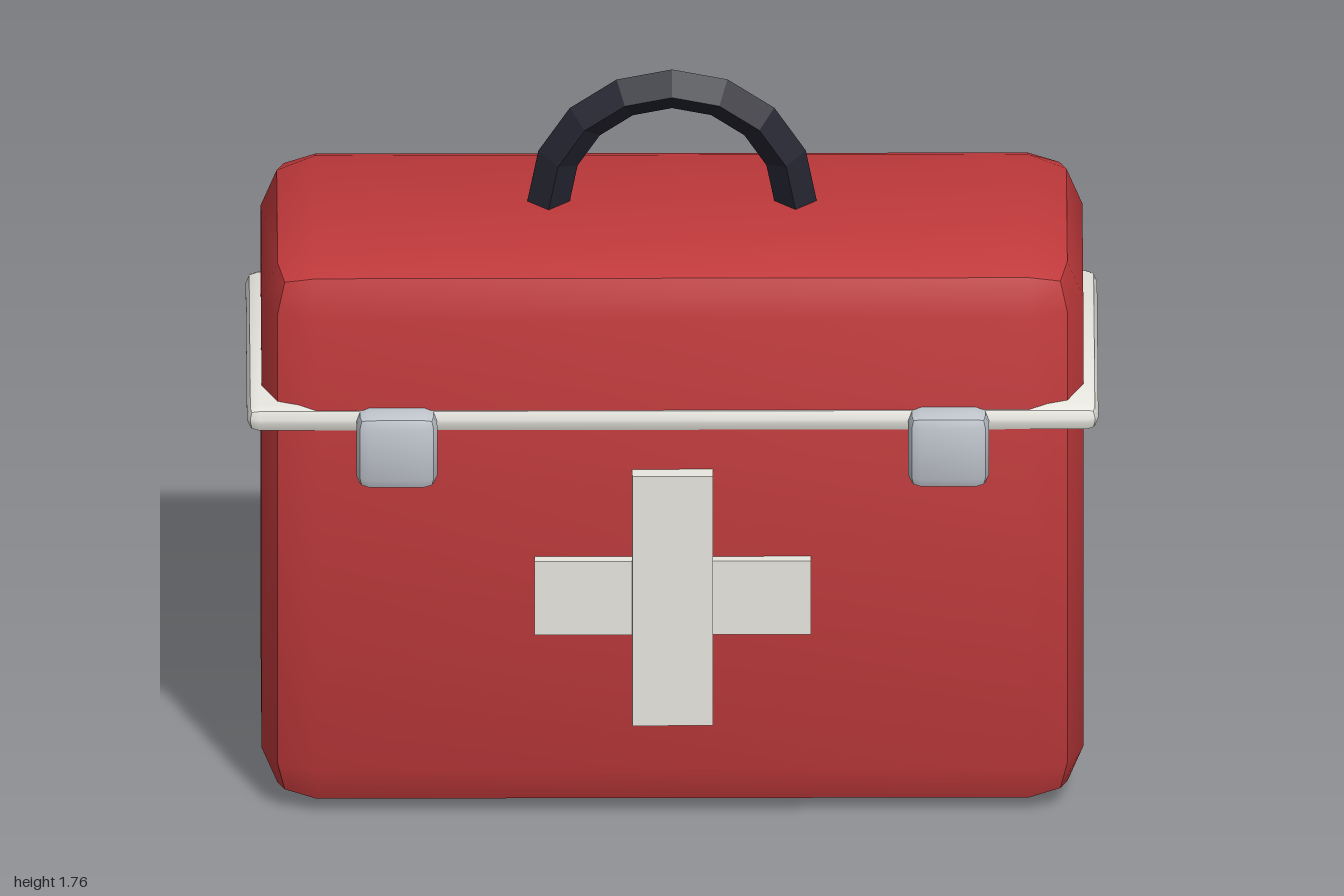
import * as THREE from 'three';
import { RoundedBoxGeometry } from 'three/addons/geometries/RoundedBoxGeometry.js';

const material = (name, color, flatShading = false) => {
  const m = new THREE.MeshStandardMaterial({ color, flatShading });
  m.name = name;
  return m;
};

// Bevelled box whose six sides are softly shaded and meet at crisp edges.
function softBox(w, h, d, radius) {
  const geo = new RoundedBoxGeometry(w, h, d, 1, radius);
  const pos = geo.attributes.position, nor = geo.attributes.normal;
  const perSide = pos.count / 6;
  for (let i = 0; i < pos.count; i++) {
    const axis = Math.floor(i / perSide / 2);
    const n = [0, 1, 2].map((a) => {
      const s = Math.sign(pos.getComponent(i, a));
      if (a === axis) return s;
      return s * (Math.abs(nor.getComponent(i, a)) > 0.1 ? 0.41 : 0.18);
    });
    const len = Math.hypot(...n);
    nor.setXYZ(i, n[0] / len, n[1] / len, n[2] / len);
  }
  return geo;
}

export function createModel() {
  const red = material('red case', 0xc0393b);
  const white = material('off white', 0xe8e7e0);
  const metal = material('latch metal', 0xbfc4cc);
  const black = material('handle black', 0x23242f, true);

  const group = new THREE.Group();
  group.name = 'firstAidCase';
  const add = (name, geo, mat, x, y, z) => {
    const mesh = new THREE.Mesh(geo, mat);
    mesh.name = name;
    mesh.position.set(x, y, z);
    group.add(mesh);
    return mesh;
  };

  // Case and the rim where the lid closes
  add('caseBody', softBox(1.93, 1.42, 0.775, 0.128), red, 0, 0.71, -0.023);
  add('rim', softBox(2, 0.065, 0.8, 0.028), white, 0, 1.033, -0.025);

  // Latches
  for (const side of [-1, 1]) {
    const name = side > 0 ? 'leftLatch' : 'rightLatch';
    add(name, softBox(0.19, 0.19, 0.12, 0.03), metal, side * 0.648, 0.97, 0.365);
  }

  // Cross on the front
  add('crossUpright', new THREE.BoxGeometry(0.19, 0.645, 0.06), white, 0, 0.583, 0.375);
  add('crossBar', new THREE.BoxGeometry(0.65, 0.19, 0.05), white, 0, 0.585, 0.367);

  // Arched handle with a diamond section
  add('handle', new THREE.TorusGeometry(0.29, 0.05, 4, 8, Math.PI), black, 0, 1.42, -0.025);

  return group;
}
